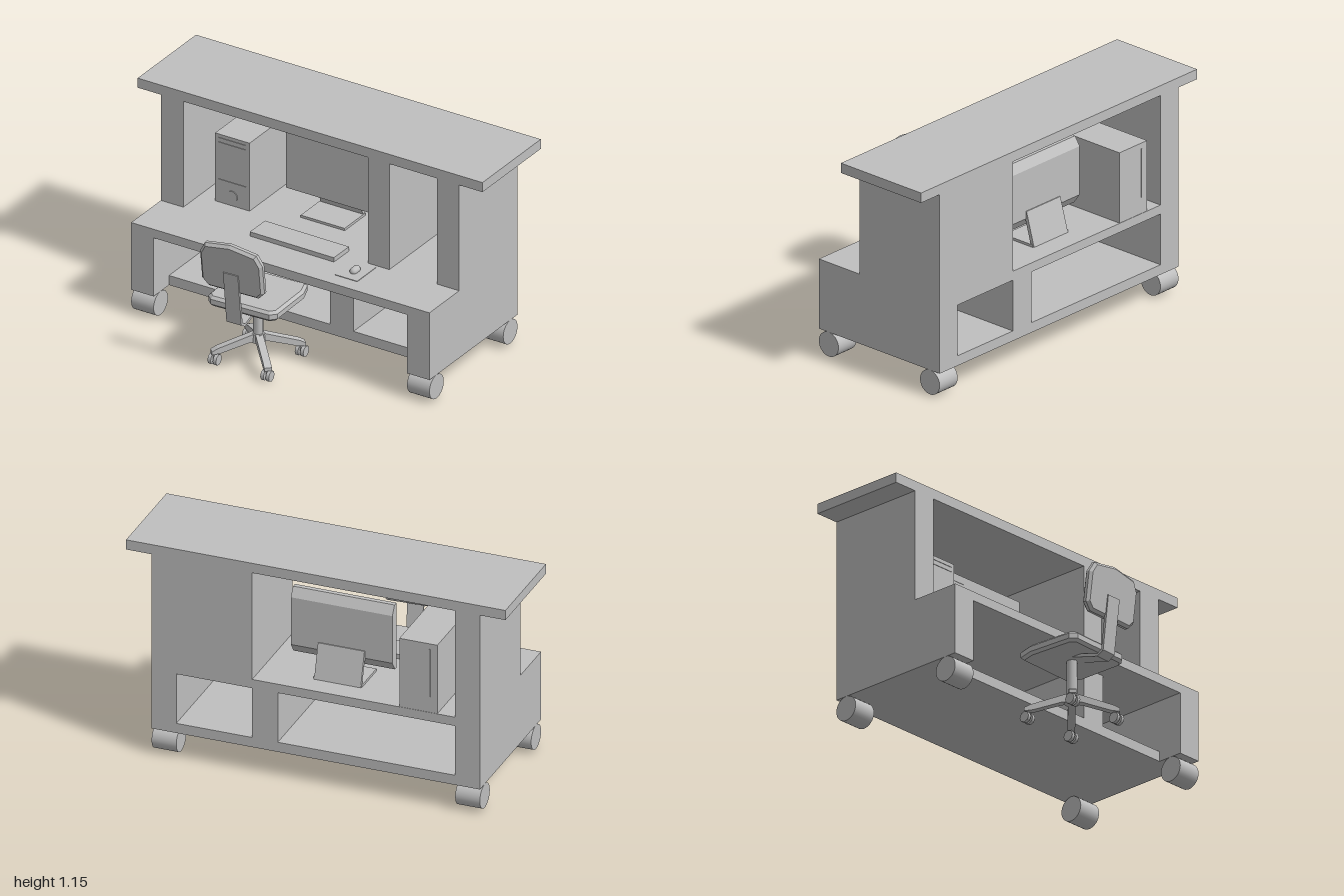
import * as THREE from 'three';

export function createModel() {
  const model = new THREE.Group();
  const grey = new THREE.MeshStandardMaterial({ color: 0xbfbfbf });
  grey.name = 'plain grey';

  const add = (name, geometry, parent = model) => {
    const mesh = new THREE.Mesh(geometry, grey);
    mesh.name = name;
    parent.add(mesh);
    return mesh;
  };
  // Box given by its limits on each axis
  const box = (name, x0, x1, y0, y1, z0, z1, parent) =>
    add(name, new THREE.BoxGeometry(x1 - x0, y1 - y0, z1 - z0)
      .translate((x0 + x1) / 2, (y0 + y1) / 2, (z0 + z1) / 2), parent);
  // Side profile of [z, y] points, extruded from x0 to x1
  const profile = (name, pts, x0, x1, parent) => {
    const shape = new THREE.Shape(pts.map(([z, y]) => new THREE.Vector2(z, y)));
    const g = new THREE.ExtrudeGeometry(shape, { depth: x1 - x0, bevelEnabled: false });
    return add(name, g.rotateY(-Math.PI / 2).translate(x1, 0, 0), parent);
  };
  // Padded slab with a chamfered rim, lying in the xy plane and centred on z
  const cushion = (pts, thickness, bevel) => {
    const shape = new THREE.Shape(pts.map(([x, y]) => new THREE.Vector2(x, y)));
    const g = new THREE.ExtrudeGeometry(shape, {
      depth: thickness - 2 * bevel, bevelEnabled: true, bevelThickness: bevel,
      bevelSize: bevel, bevelOffset: -bevel, bevelSegments: 1,
    });
    return g.translate(0, 0, bevel - thickness / 2);
  };

  // Desk carcass
  const B = -0.57, F = -0.04;
  box('topBoard', -1, 1, 1.10, 1.153, B, F);
  for (const s of [-1, 1]) {
    const [a, b] = s < 0 ? [-0.865, -0.735] : [0.735, 0.865];
    profile('sidePanel', [[B, 0.14], [0.23, 0.14], [0.23, 0.513], [F, 0.513], [F, 1.10], [B, 1.10]], a, b);
    // Rollers under both ends of the panel
    for (const z of [0.165, -0.505]) {
      add('roller', new THREE.CylinderGeometry(0.065, 0.065, 0.13, 32)
        .rotateZ(Math.PI / 2).translate(s * 0.8, 0.075, z));
    }
  }
  box('worktop', -0.735, 0.735, 0.465, 0.513, B, 0.23);
  box('bottomBoard', -0.735, 0.735, 0.14, 0.193, B, 0.09);
  box('lowerDivider', 0.2, 0.335, 0.193, 0.465, B, 0.09);
  box('upperDivider', 0.335, 0.46, 0.513, 1.10, B, F);
  box('nookBack', 0.46, 0.735, 0.513, 1.10, B, B + 0.04);

  // Computer tower
  const tower = new THREE.Group();
  tower.name = 'computerTower';
  model.add(tower);
  box('towerCase', -0.64, -0.44, 0.513, 0.89, -0.568, -0.18, tower);
  box('rearSlot', -0.604, -0.596, 0.60, 0.86, -0.572, -0.567, tower);
  for (const y of [0.87, 0.845, 0.64]) {
    box('driveTrim', -0.62, -0.46, y - 0.002, y + 0.002, -0.181, -0.177, tower);
  }
  add('powerButton', new THREE.CylinderGeometry(0.03, 0.03, 0.006, 20)
    .rotateX(Math.PI / 2).translate(-0.54, 0.565, -0.179), tower);

  // Monitor with a sloped stand
  const monitor = new THREE.Group();
  monitor.name = 'monitor';
  model.add(monitor);
  profile('monitorCase', [[-0.345, 0.60], [-0.345, 0.957], [-0.37, 0.957], [-0.40, 0.91],
    [-0.40, 0.65], [-0.365, 0.60]], -0.335, 0.2, monitor);
  box('screen', -0.315, 0.18, 0.695, 0.94, -0.346, -0.342, monitor);
  box('slot', -0.30, -0.20, 0.913, 0.919, -0.343, -0.340, monitor);
  box('standFoot', -0.195, 0.06, 0.513, 0.526, -0.45, -0.26, monitor);
  profile('standLeg', [[-0.455, 0.513], [-0.435, 0.513], [-0.385, 0.69], [-0.405, 0.69]],
    -0.19, 0.055, monitor);

  // Keyboard and mouse
  const keyboard = box('keyboard', -0.245, 0.245, -0.012, 0.012, -0.068, 0.068);
  keyboard.position.set(-0.055, 0.525, -0.03);
  keyboard.rotation.y = -0.01;
  box('mousePad', 0.265, 0.395, 0.513, 0.516, -0.02, 0.15);
  const mouse = add('mouse', new THREE.CapsuleGeometry(0.02, 0.026, 4, 12).rotateX(Math.PI / 2));
  mouse.position.set(0.33, 0.522, 0.068);

  // Office chair, turned slightly
  const chair = new THREE.Group();
  chair.name = 'chair';
  chair.position.set(-0.093, 0, 0.285);
  chair.rotation.y = 0.045;
  model.add(chair);

  const seat = add('seat', cushion([[-0.165, -0.18], [-0.195, -0.15], [-0.2, 0.1], [-0.175, 0.18],
    [0.175, 0.18], [0.2, 0.1], [0.195, -0.15], [0.165, -0.18]].reverse(), 0.055, 0.014), chair);
  seat.rotation.x = -Math.PI / 2;
  seat.position.y = 0.362;

  const back = add('backrest', cushion([[-0.14, -0.138], [-0.176, -0.1], [-0.176, 0.06], [-0.145, 0.115],
    [0, 0.138], [0.145, 0.115], [0.176, 0.06], [0.176, -0.1], [0.14, -0.138]].reverse(), 0.045, 0.014), chair);
  back.position.set(0, 0.626, 0.247);
  back.rotation.x = 0.13;

  // Bent bar joining seat and backrest
  profile('backBar', [[0.03, 0.335], [0.2, 0.289], [0.238, 0.312], [0.272, 0.60], [0.258, 0.60],
    [0.226, 0.322], [0.198, 0.303], [0.1, 0.335]], -0.042, 0.042, chair);
  add('pedestal', new THREE.CylinderGeometry(0.026, 0.026, 0.215, 8).translate(0, 0.235, 0), chair);
  add('hub', new THREE.CylinderGeometry(0.035, 0.04, 0.045, 8).translate(0, 0.13, 0), chair);

  // Four sloping legs with twin-wheel castors
  for (let i = 0; i < 4; i++) {
    const leg = new THREE.Group();
    leg.name = 'chairLeg';
    leg.rotation.y = 0.73 + i * Math.PI / 2;
    chair.add(leg);
    profile('legArm', [[0, 0.112], [0.05, 0.108], [0.19, 0.066], [0.235, 0.06], [0.235, 0.078],
      [0.205, 0.094], [0.03, 0.152], [0, 0.152]], -0.019, 0.019, leg);
    add('castorPost', new THREE.CylinderGeometry(0.009, 0.009, 0.05, 6).translate(0, 0.05, 0.218), leg);
    const castor = new THREE.Group();
    castor.name = 'castor';
    castor.position.set(0, 0.029, 0.218);
    castor.rotation.y = -leg.rotation.y;
    leg.add(castor);
    for (const s of [-1, 1]) {
      add('castorWheel', new THREE.CylinderGeometry(0.029, 0.029, 0.018, 8)
        .rotateZ(Math.PI / 2).translate(s * 0.015, 0, 0), castor);
    }
  }
  return model;
}
